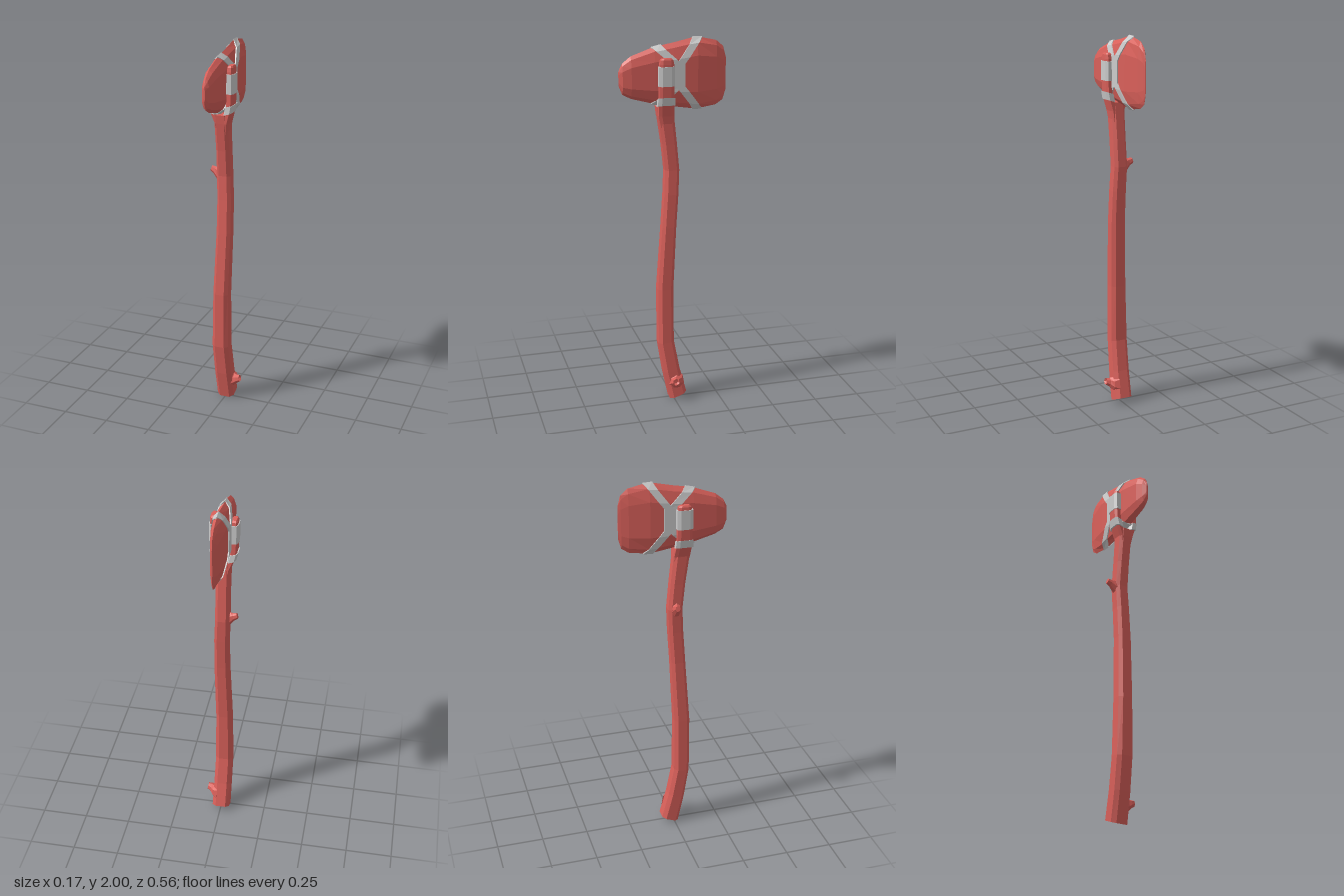
import * as THREE from 'three';

const wood = new THREE.MeshStandardMaterial({ color: 0xd9605a, flatShading: true });
const binding = new THREE.MeshStandardMaterial({ color: 0xcccccc, flatShading: true });

// Skin a list of equal-sized point rings; capped at the ends, or joined into a loop.
function loft(rings, loop = false) {
  const n = rings[0].length, count = rings.length, pos = [];
  const tri = (a, b, c) => pos.push(...a, ...b, ...c);
  for (let i = 0; i < (loop ? count : count - 1); i++) {
    const lo = rings[i], hi = rings[(i + 1) % count];
    for (let j = 0; j < n; j++) {
      const k = (j + 1) % n;
      tri(lo[j], lo[k], hi[k]);
      tri(lo[j], hi[k], hi[j]);
    }
  }
  if (!loop) {
    const first = rings[0], last = rings[count - 1];
    for (let j = 1; j < n - 1; j++) {
      tri(first[0], first[j + 1], first[j]);
      tri(last[0], last[j], last[j + 1]);
    }
  }
  const g = new THREE.BufferGeometry();
  g.setAttribute('position', new THREE.Float32BufferAttribute(pos, 3));
  g.computeVertexNormals();
  return g;
}

// Horizontal ring, a rectangle with cut corners; slopes tilt it along z and x.
const CUT = 0.58;
const OUTLINE = [[1, CUT], [1, -CUT], [CUT, -1], [-CUT, -1], [-1, -CUT], [-1, CUT], [-CUT, 1], [CUT, 1]];
function ring([x, y, z, rx, rz, slopeZ = 0, slopeX = 0]) {
  return OUTLINE.map(([u, v]) => [x + u * rx, y + slopeZ * v * rz + slopeX * u * rx, z + v * rz]);
}

// Ring facing sideways, for twigs growing toward dir * x.
function sideRing([x, y, z, ry, rz, lean = 0], dir, sides = 7) {
  return Array.from({ length: sides }, (_, i) => {
    const a = (i / sides) * Math.PI * 2, dy = Math.cos(a) * ry;
    return [x + dir * lean * dy, y + dy, z + dir * Math.sin(a) * rz];
  });
}

// Stone head sections: z, bottom, top, half thickness.
const SECTIONS = [
  [-0.282, 1.715, 1.885, 0.002], [-0.267, 1.665, 1.94, 0.008], [-0.23, 1.64, 1.972, 0.019],
  [-0.125, 1.623, 1.995, 0.035], [0, 1.642, 1.968, 0.037], [0.1, 1.66, 1.95, 0.035],
  [0.22, 1.692, 1.907, 0.029], [0.264, 1.715, 1.872, 0.019], [0.282, 1.76, 1.835, 0.004],
];
const HEAD_X = -0.004;

function lerpTable(table, v) {
  let i = 0;
  while (i < table.length - 2 && v > table[i + 1][0]) i++;
  const f = (v - table[i][0]) / (table[i + 1][0] - table[i][0]);
  return table[i].map((p, k) => p + (table[i + 1][k] - p) * f);
}

// Point on the head: height t from -1 to 1, side +1 or -1, pushed out by off.
const PROFILE = [[0, 1], [0.5, 1], [0.85, 0.6], [1, 0]];
function headPoint(z, t, side, off = 0) {
  const [, bottom, top, w] = lerpTable(SECTIONS, z);
  const ridge = Math.abs(t) === 1;
  const x = ridge ? 0 : w * lerpTable(PROFILE, Math.abs(t))[1] + off;
  const y = (top + bottom) / 2 + ((top - bottom) / 2) * t + (ridge ? Math.sign(t) * off : 0);
  return [HEAD_X + side * x, y, z];
}

const STEPS = [-1, -0.85, -0.5, -0.33, 0.33, 0.5, 0.85, 1];
const AROUND = [
  ...STEPS.map((t) => [t, 1]),
  ...STEPS.slice(1, -1).reverse().map((t) => [t, -1]),
];

// Band round the head that bends toward the middle; zEdge at the ridges, zMid on the flats.
function strap(zEdge, zMid, width) {
  return loft(AROUND.map(([t, side]) => {
    const f = Math.max(0, (Math.abs(t) - 0.33) / 0.67);
    const z = zMid + (zEdge - zMid) * f;
    const a = z + width / 2, b = z - width / 2;
    return [headPoint(a, t, side, 0.006), headPoint(b, t, side, 0.006),
      headPoint(b, t, side, -0.004), headPoint(a, t, side, -0.004)];
  }), true);
}

export function createModel() {
  const model = new THREE.Group();
  const add = (name, geometry, material) => {
    const mesh = new THREE.Mesh(geometry, material);
    mesh.name = name;
    model.add(mesh);
  };

  // Crooked branch handle
  add('handle', loft([
    [-0.003, 0.0175, -0.024, 0.048, 0.046, -0.38],
    [-0.006, 0.17, 0.012, 0.047, 0.044, -0.22],
    [-0.01, 0.34, 0.041, 0.046, 0.042, -0.1],
    [-0.007, 0.65, 0.044, 0.042, 0.042],
    [0.002, 1.0, 0.026, 0.039, 0.038],
    [0.001, 1.18, 0.014, 0.038, 0.038],
    [-0.004, 1.31, 0.008, 0.037, 0.038],
    [-0.003, 1.45, 0.022, 0.036, 0.039],
    [-0.003, 1.6, 0.041, 0.037, 0.042],
    [-0.003, 1.645, 0.046, 0.042, 0.042],
  ].map(ring), false), wood);

  // Broken-off twigs
  add('lowerTwig', loft([
    [0.02, 0.10, -0.012, 0.058, 0.048], [0.046, 0.105, -0.01, 0.036, 0.038],
    [0.062, 0.114, 0, 0.023, 0.026, -0.2], [0.08, 0.12, 0.002, 0.018, 0.019, -0.2],
    [0.072, 0.12, 0.002, 0.01, 0.011],
  ].map((r) => sideRing(r, 1))), wood);
  add('upperTwig', loft([
    [-0.02, 1.3, 0.01, 0.06, 0.034], [-0.042, 1.312, 0.01, 0.037, 0.025],
    [-0.06, 1.326, 0.008, 0.02, 0.018, -0.3], [-0.08, 1.335, 0.006, 0.015, 0.014, -0.3],
  ].map((r) => sideRing(r, -1))), wood);

  // Forked prongs gripping the head, each with two bindings
  for (const [name, side, x, top] of [['left', 1, 0.046, 1.898], ['right', -1, 0.058, 1.88]]) {
    const c = side * x;
    add(name + 'Prong', loft([
      [side * 0.014, 1.53, 0.032, 0.016, 0.034],
      [side * 0.02, 1.6, 0.042, 0.019, 0.041],
      [c * 0.92, 1.68, 0.046, 0.018, 0.04],
      [c, 1.76, 0.046, 0.018, 0.038],
      [c, top - 0.03, 0.045, 0.018, 0.037],
      [c, top - 0.008, 0.045, 0.016, 0.033],
      [c, top, 0.045, 0.011, 0.024],
    ].map(ring)), wood);
    add(name + 'UpperBinding', loft([
      [c, 1.757, 0.046, 0.021, 0.042], [c, 1.857, 0.046, 0.021, 0.041],
    ].map(ring)), binding);
    add(name + 'LowerBinding', loft([
      [c * 0.78, 1.652, 0.046, 0.023, 0.046, 0, side * 0.3],
      [c * 0.95, 1.694, 0.046, 0.023, 0.044, 0, side * 0.3],
    ].map(ring)), binding);
  }

  // Stone head, sharp at the back
  const heights = [-1, -0.85, -0.5, 0.5, 0.85, 1];
  add('axeHead', loft(SECTIONS.map(([z]) => [
    ...heights.map((t) => headPoint(z, t, 1)),
    ...heights.slice(1, -1).reverse().map((t) => headPoint(z, t, -1)),
  ])), wood);

  // Crossed straps round the head
  add('backStrap', strap(-0.13, -0.03, 0.05), binding);
  add('frontStrap', strap(0.09, -0.014, 0.05), binding);

  return model;
}
